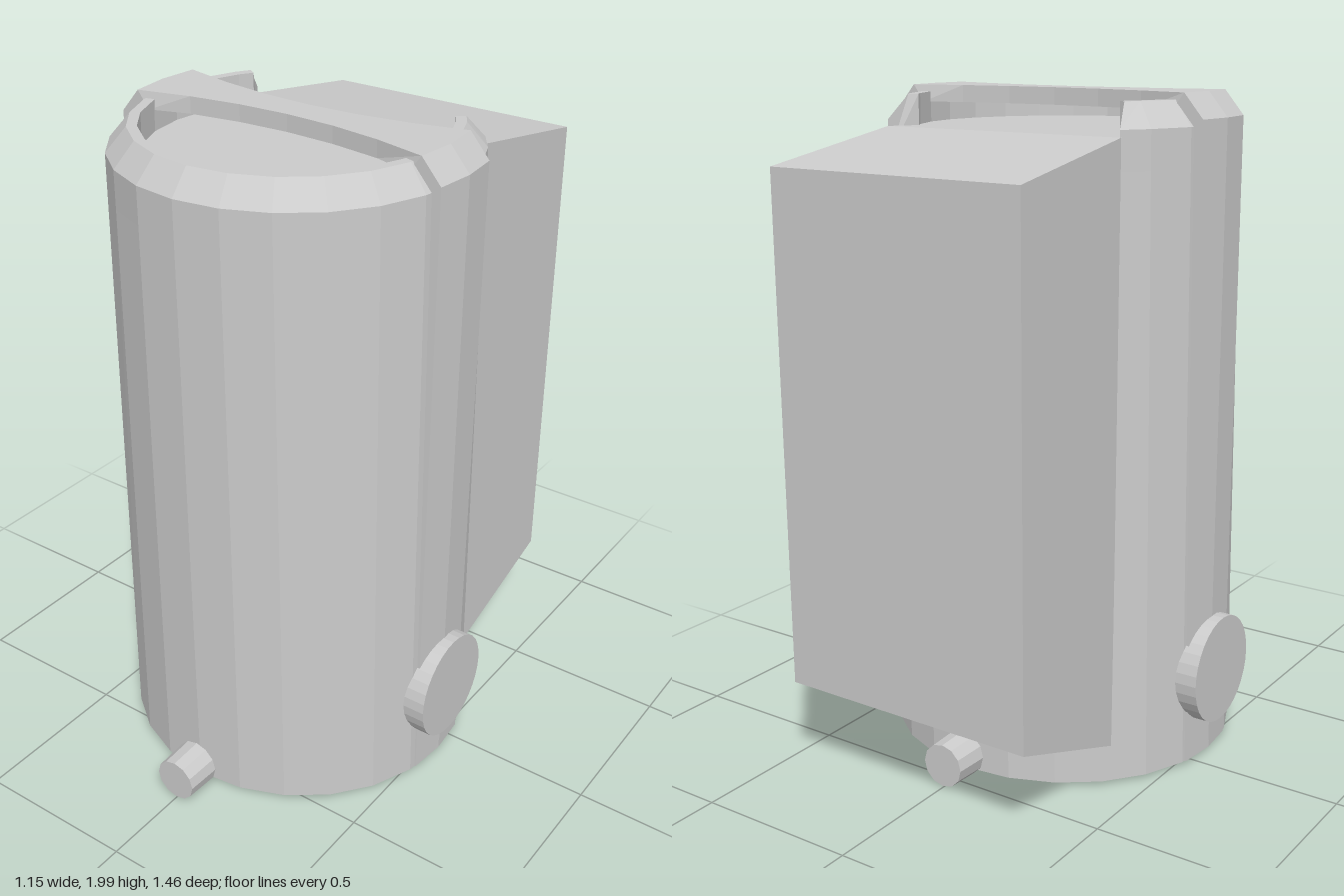
import * as THREE from 'three';

const material = new THREE.MeshStandardMaterial({ color: 0xcccccc, flatShading: true, side: THREE.DoubleSide });
const CZ = 0.085; // centre of the tank along z
const rad = THREE.MathUtils.degToRad;

function part(name, geometry, parent) {
  const mesh = new THREE.Mesh(geometry, material);
  mesh.name = name;
  parent.add(mesh);
  return mesh;
}

// Solid skinned over closed cross-sections, capped at both ends
function loft(sections) {
  const n = sections[0].length, last = (sections.length - 1) * n, index = [];
  for (let i = 0; i < sections.length - 1; i++) {
    for (let j = 0; j < n; j++) {
      const a = i * n + j, b = i * n + (j + 1) % n;
      index.push(a, a + n, b + n, a, b + n, b);
    }
  }
  for (let j = 1; j < n - 1; j++) {
    index.push(0, j, j + 1, last, last + j + 1, last + j);
  }
  const g = new THREE.BufferGeometry();
  g.setAttribute('position', new THREE.Float32BufferAttribute(sections.flat(2), 3));
  g.setIndex(index);
  const flat = g.toNonIndexed();
  flat.computeVertexNormals();
  return flat;
}

// The tank is slightly wider in x at its foot
const widen = (y) => (0.515 + 0.025 * (1.98 - y) / 1.96) / 0.525;
const onTank = (r, deg, y) => [r * Math.sin(rad(deg)) * widen(y), y, CZ + r * Math.cos(rad(deg))];

export function createModel() {
  const model = new THREE.Group();
  model.name = 'backpackTank';

  // Tank body
  const body = new THREE.CylinderGeometry(0.525, 0.525, 1.78, 24);
  body.translate(0, 0.91, 0);
  const p = body.attributes.position;
  for (let i = 0; i < p.count; i++) p.setX(i, p.getX(i) * widen(p.getY(i)));
  body.translate(0, 0, CZ);
  body.computeVertexNormals();
  part('tankBody', body, model);

  // Chamfered rim, open at the back; each entry is radius, height, end angle
  const profile = [[0.525, 1.8, 130], [0.525, 1.91, 130], [0.465, 1.98, 126], [0.435, 1.98, 126], [0.435, 1.8, 126]];
  const angles = [-130];
  for (let a = -120; a <= 120; a += 15) angles.push(a);
  angles.push(130);
  part('rim', loft(angles.map((a) => profile.map(([r, y, end]) =>
    onTank(r, THREE.MathUtils.clamp(a, -end, end), y)))), model);

  // Recessed top
  const outline = angles.slice(1, -1).map((a) => onTank(0.445, a, 1.89));
  outline.push([0.4, 1.89, -0.25], [-0.4, 1.89, -0.25]);
  const floor = new THREE.ShapeGeometry(new THREE.Shape(outline.map(([x, , z]) => new THREE.Vector2(x, -z))));
  floor.rotateX(-Math.PI / 2).translate(0, 1.89, 0);
  part('recessedTop', floor, model);

  // Rear housing with sloping top and bottom
  const side = (s) => [[0.41, 0.305, -0.73], [0.41, 1.81, -0.73], [0.398, 1.89, -0.25], [0.398, 0.13, -0.26]]
    .map(([x, y, z]) => [s * x, y, z]);
  part('rearHousing', loft([side(1), side(-1)]), model);

  // Strap running up one side, over the top with a narrow waist, and down the other
  const strapSection = (s, x, y, xi, yi, bulge) => {
    const h = 0.05 + 0.07 * Math.min(1, (x / 0.465) ** 2);
    return [[s * x, y, 0.08 + h], [s * (x + bulge), y, 0.08], [s * x, y, 0.08 - h],
      [s * xi, yi, 0.08 - h], [s * xi, yi, 0.08 + h]];
  };
  const half = (s) => [
    strapSection(s, 0.528, 0.02, 0.46, 0.02, 0.012),
    strapSection(s, 0.528, 1.93, 0.46, 1.91, 0.012),
    strapSection(s, 0.468, 2, 0.43, 1.95, 0.012),
    ...[0.31, 0.155].map((x) => strapSection(s, x, 2, x, 1.95, 0)),
  ];
  part('strap', loft([...half(-1), strapSection(1, 0, 2, 0, 1.95, 0), ...half(1).reverse()]), model);

  // Round side discs
  for (const s of [1, -1]) {
    const disc = part(s > 0 ? 'leftDisc' : 'rightDisc',
      new THREE.CylinderGeometry(0.165, 0.165, 0.135, 32).rotateZ(Math.PI / 2), model);
    disc.position.set(s * 0.5075, 0.29, CZ);
  }

  // Valve knobs at front and back
  for (const [name, z, s] of [['frontKnob', 0.6, 1], ['rearKnob', -0.43, -1]]) {
    const knob = new THREE.Group();
    knob.name = name;
    knob.position.set(0, 0.078, z);
    if (s < 0) knob.rotation.y = Math.PI;
    const stem = part('stem', new THREE.CylinderGeometry(0.017, 0.017, 0.06, 12).rotateX(Math.PI / 2), knob);
    stem.position.z = 0.005;
    const cap = part('cap', new THREE.CylinderGeometry(0.066, 0.07, 0.105, 12).rotateX(Math.PI / 2), knob);
    cap.position.z = 0.0755;
    model.add(knob);
  }
  return model;
}
